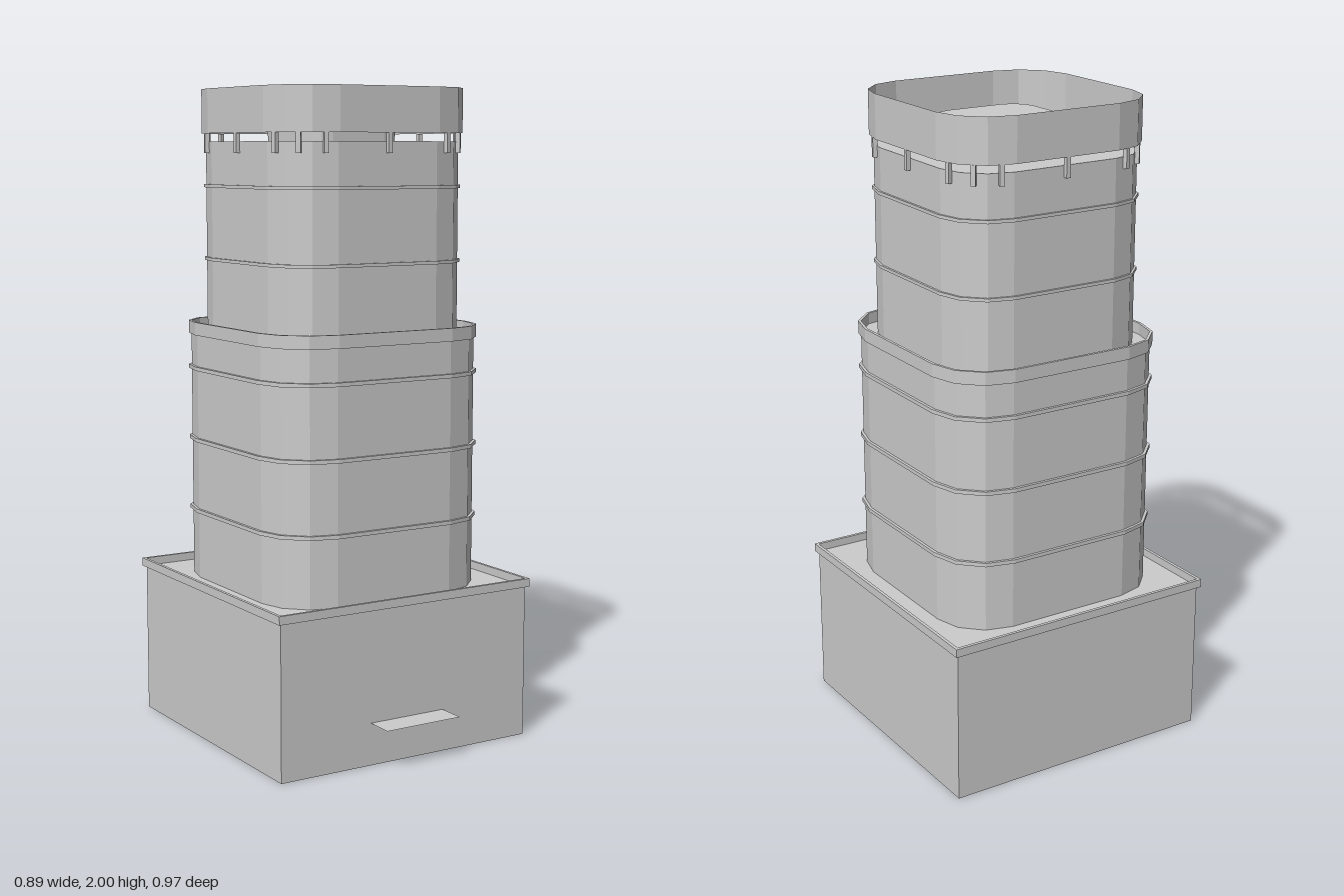
import * as THREE from 'three';

// square outline with corners cut into three facets (square when r = 0)
function outline(half, r) {
  const pts = [];
  for (let q = 0; q < 4; q++) {
    const a0 = q * Math.PI / 2, m = a0 + Math.PI / 4;
    const cx = Math.sign(Math.cos(m)) * (half - r), cy = Math.sign(Math.sin(m)) * (half - r);
    for (let i = 0; i <= (r ? 3 : 0); i++) {
      const a = a0 + i * Math.PI / 6;
      pts.push(new THREE.Vector2(cx + r * Math.cos(a), cy + r * Math.sin(a)));
    }
  }
  return pts;
}

// upright prism between two heights; inner > 0 makes it a ring
function prism(half, r, y0, y1, inner = 0) {
  const shape = new THREE.Shape(outline(half, r));
  if (inner) shape.holes.push(new THREE.Path(outline(inner, r ? r - (half - inner) : 0)));
  const geo = new THREE.ExtrudeGeometry(shape, { depth: y1 - y0, bevelEnabled: false });
  return geo.rotateX(-Math.PI / 2).translate(0, y0, 0);
}

// single-skin wall following an outline, open above and below
function wall(half, r, y0, y1) {
  const pts = outline(half, r), pos = [];
  pts.forEach((a, i) => {
    const b = pts[(i + 1) % pts.length];
    const A = [a.x, y0, -a.y], B = [b.x, y0, -b.y], C = [b.x, y1, -b.y], D = [a.x, y1, -a.y];
    pos.push(...A, ...B, ...C, ...A, ...C, ...D);
  });
  const geo = new THREE.BufferGeometry();
  geo.setAttribute('position', new THREE.Float32BufferAttribute(pos, 3));
  geo.computeVertexNormals();
  return geo;
}

export function createModel() {
  const model = new THREE.Group();
  model.name = 'tower';
  const building = new THREE.Group();
  building.name = 'building';
  building.position.z = -0.041;
  model.add(building);

  const concrete = new THREE.MeshStandardMaterial({ color: 0xcccccc, side: THREE.DoubleSide });
  concrete.name = 'concrete grey';
  const add = (name, geo, parent = building) => {
    const mesh = new THREE.Mesh(geo, concrete);
    mesh.name = name;
    parent.add(mesh);
    return mesh;
  };

  // podium, hollow underneath, with a roof deck and low parapet
  add('podiumWalls', wall(0.437, 0, 0, 0.475));
  add('podiumDeck', new THREE.PlaneGeometry(0.874, 0.874).rotateX(-Math.PI / 2).translate(0, 0.475, 0));
  add('podiumParapet', prism(0.447, 0, 0.474, 0.5, 0.437));

  // entrance canopy
  add('entranceCanopy', new THREE.PlaneGeometry(0.26, 0.09).rotateX(-Math.PI / 2).translate(0, 0.13, 0.441), model);

  // lower shaft with terrace parapet
  add('lowerShaft', prism(0.365, 0.165, 0.475, 1.25));
  add('terraceParapet', prism(0.373, 0.173, 1.245, 1.285, 0.364));
  for (const y of [0.69, 0.915, 1.14])
    add('lowerBand', prism(0.374, 0.174, y - 0.006, y + 0.006, 0.36));

  // upper shaft
  add('upperShaft', prism(0.323, 0.15, 1.25, 1.84));
  for (const y of [1.48, 1.705])
    add('upperBand', prism(0.33, 0.157, y - 0.005, y + 0.005, 0.318));

  // rooftop plant room
  add('plantRoom', prism(0.161, 0.07, 1.84, 1.93));

  // crown screen, raised on small posts
  add('crownScreen', wall(0.336, 0.163, 1.865, 2));
  const posts = new THREE.Group();
  posts.name = 'crownPosts';
  building.add(posts);
  const postGeo = new THREE.BoxGeometry(0.014, 0.06, 0.014);
  for (let q = 0; q < 4; q++) {
    const side = new THREE.Group();
    side.name = 'postSide';
    side.rotation.y = q * Math.PI / 2;
    posts.add(side);
    add('crownPost', postGeo, side).position.set(0, 1.835, 0.329);
    for (const deg of [15, 45, 75]) {
      const a = deg * Math.PI / 180;
      const post = add('crownPost', postGeo, side);
      post.position.set(0.173 + 0.151 * Math.sin(a), 1.835, 0.173 + 0.151 * Math.cos(a));
      post.rotation.y = a;
    }
  }
  return model;
}
